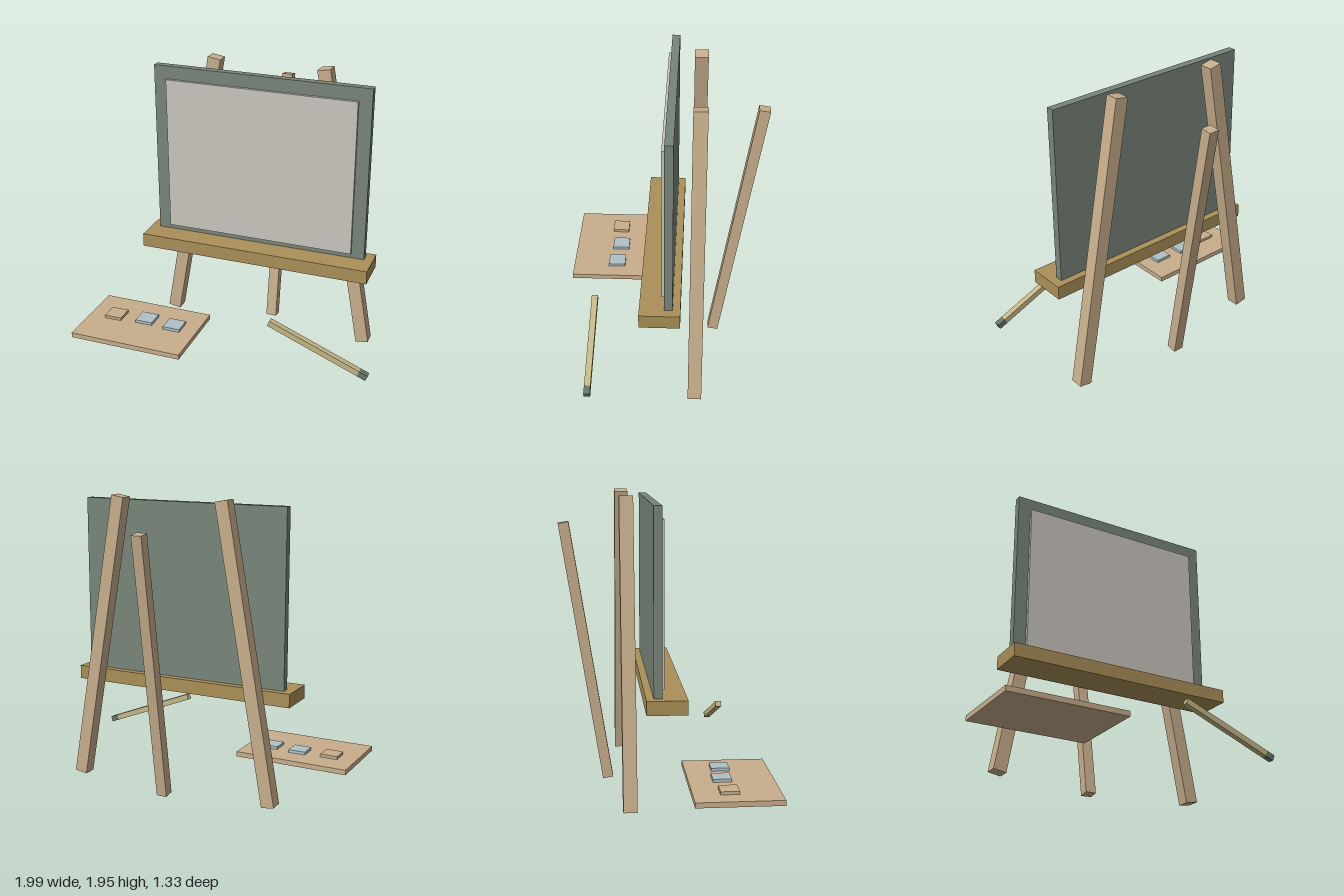
import * as THREE from 'three';

const material = (name, color) => {
  const m = new THREE.MeshStandardMaterial({ color });
  m.name = name;
  return m;
};

export function createModel() {
  const wood = material('light wood', 0xc8ae8c);
  const trayWood = material('golden wood', 0xaa8f57);
  const boardGreen = material('grey green', 0x78857a);
  const paper = material('pale paper', 0xcac5be);
  const paintBlue = material('pale blue', 0xafc2c8);
  const handleWood = material('straw', 0xc4b686);
  const bristle = material('dark green', 0x667567);

  const model = new THREE.Group();
  model.name = 'easel';
  const centre = 0.083; // the easel's own middle line

  const box = (name, mat, size, position, parent = model) => {
    const mesh = new THREE.Mesh(new THREE.BoxGeometry(...size), mat);
    mesh.name = name;
    mesh.position.set(...position);
    parent.add(mesh);
    return mesh;
  };

  // Board, sheet and ledge
  box('board', boardGreen, [1.46, 1.166, 0.052], [centre, 1.322, -0.066]);
  box('sheet', paper, [1.286, 1.044, 0.02], [centre + 0.001, 1.296, -0.03]);
  box('tray', trayWood, [1.578, 0.091, 0.255], [centre, 0.6935, -0.0125]);

  // Splayed front legs, mirrored about the middle line
  for (const side of [-1, 1]) {
    const leg = box(side < 0 ? 'rightLeg' : 'leftLeg', wood, [0.088, 1.957, 0.088],
      [centre + side * 0.542, 0.977, -0.238]);
    leg.rotation.z = side * THREE.MathUtils.degToRad(10);
  }

  // Rear prop, leaning backwards
  const prop = box('backLeg', wood, [0.072, 1.769, 0.07], [centre, 0.88, -0.494]);
  prop.rotation.x = -THREE.MathUtils.degToRad(9);

  // Palette with three paint blocks
  const palette = new THREE.Group();
  palette.name = 'palette';
  model.add(palette);
  box('paletteBoard', wood, [0.785, 0.034, 0.541], [-0.6075, 0.182, 0.3945], palette);
  [[-0.82, 0.35, wood], [-0.595, 0.334, paintBlue], [-0.384, 0.35, paintBlue]].forEach(([x, z, mat]) =>
    box('paintBlock', mat, [0.12, 0.02, 0.118], [x, 0.209, z], palette));

  // Tilted brush: its length runs along local x
  const brush = new THREE.Group();
  brush.name = 'brush';
  brush.position.set(0.327, 0.438, 0.441);
  brush.rotation.z = -THREE.MathUtils.degToRad(21.9);
  model.add(brush);
  box('brushHandle', handleWood, [0.65, 0.039, 0.041], [0.325, 0, 0], brush);
  box('brushTip', bristle, [0.06, 0.039, 0.041], [0.68, 0, 0], brush);

  return model;
}
